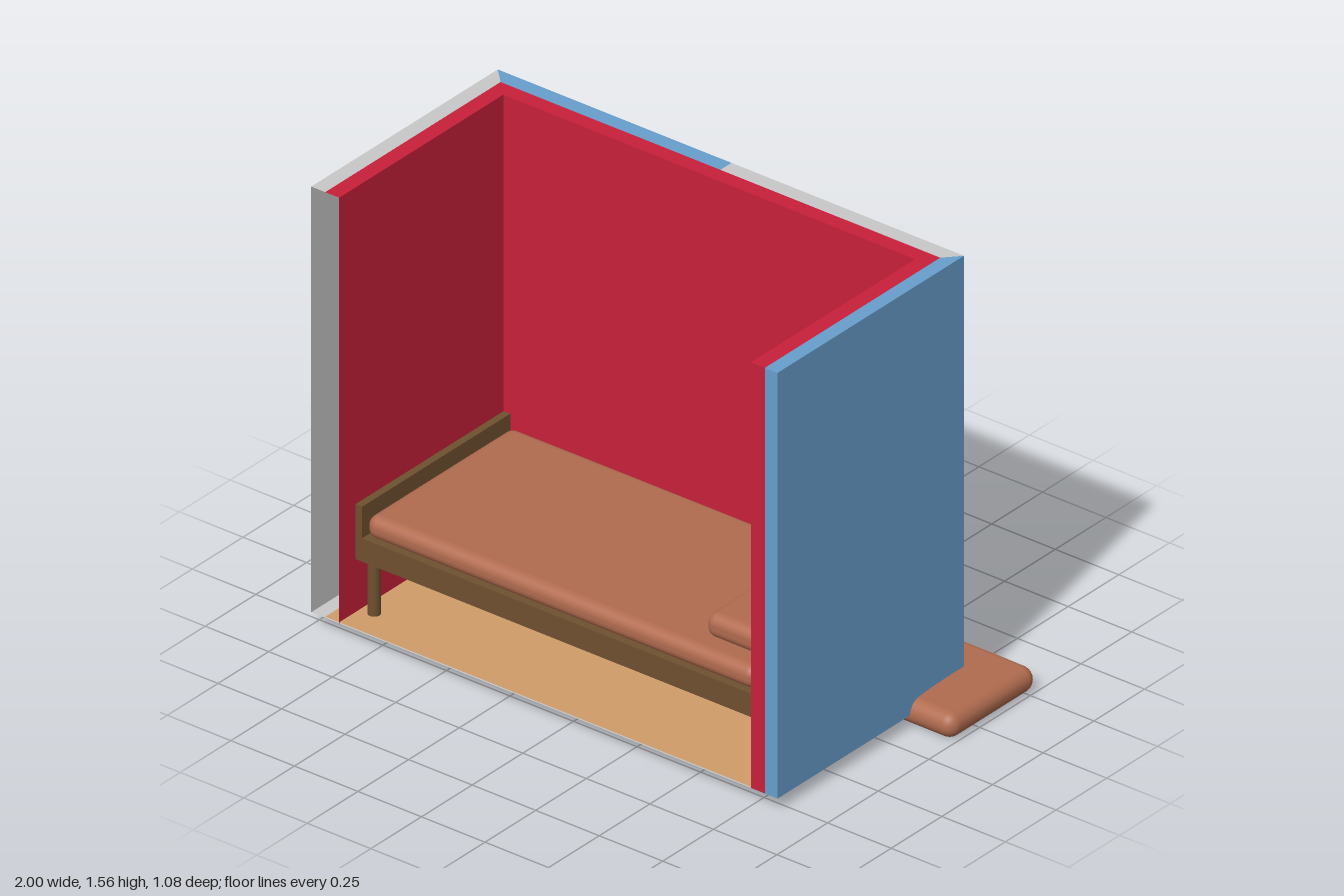
import * as THREE from 'three';

const mat = (name, color, side = THREE.FrontSide) => {
  const m = new THREE.MeshStandardMaterial({ color, side });
  m.name = name;
  return m;
};

export function createModel() {
  const model = new THREE.Group();
  model.name = 'sleepingBooth';
  const red = mat('red lining', 0xc8203a, THREE.DoubleSide);
  const blue = mat('blue panel', 0x679fcc, THREE.DoubleSide);
  const grey = mat('grey panel', 0xc8c8c8, THREE.DoubleSide);
  const tan = mat('tan floor', 0xcf9c69, THREE.DoubleSide);
  const wood = mat('brown wood', 0x6f5030);
  const fabric = mat('terracotta fabric', 0xb06b4f);

  const add = (name, geometry, material, parent = model) => {
    const mesh = new THREE.Mesh(geometry, material);
    mesh.name = name;
    parent.add(mesh);
    return mesh;
  };

  // Flat four-cornered panel
  const quad = (name, material, a, b, c, d) => {
    const g = new THREE.BufferGeometry();
    g.setAttribute('position', new THREE.Float32BufferAttribute([a, b, c, a, c, d].flat(), 3));
    g.computeVertexNormals();
    return add(name, g, material);
  };
  // Horizontal panel from four [x, z] corners, in order seen from above
  const level = (name, material, y, pts) =>
    quad(name, material, ...pts.map(([x, z]) => [x, y, z]));
  // Upright panel between two [x, z] points
  const Y0 = 0.045, Y1 = 1.558;
  const upright = (name, material, [x0, z0], [x1, z1]) =>
    quad(name, material, [x0, Y0, z0], [x1, Y0, z1], [x1, Y1, z1], [x0, Y1, z0]);

  // Plan lines: outer shell, seam between shell and lining, inner lining
  const xL = [-1, -0.945, -0.89], xR = [0.835, 0.785, 0.73], zB = [-0.38, -0.325, -0.27];
  const zF = 0.54, xM = -0.08;

  // Outer shell
  upright('leftOuterWall', grey, [xL[0], zB[0]], [xL[0], zF]);
  upright('rightOuterWall', blue, [xR[0], zF], [xR[0], zB[0]]);
  upright('backOuterWallLeft', blue, [xM, zB[0]], [xL[0], zB[0]]);
  upright('backOuterWallRight', grey, [xR[0], zB[0]], [xM, zB[0]]);

  // Inner lining
  upright('leftLining', red, [xL[2], zF], [xL[2], zB[2]]);
  upright('rightLining', red, [xR[2], zB[2]], [xR[2], zF]);
  upright('backLining', red, [xL[2], zB[2]], [xR[2], zB[2]]);

  // Front end of the right wall; the left wall is open at the front
  upright('rightLiningEnd', red, [xR[2], zF], [xR[1], zF]);
  upright('rightShellEnd', blue, [xR[1], zF], [xR[0], zF]);

  // Mitred shell edges, top and bottom
  for (const [label, y, flip] of [['Top', Y1, false], ['Bottom', Y0, true]]) {
    const strip = (name, material, pts) =>
      level(name + label, material, y, flip ? [...pts].reverse() : pts);
    strip('leftShell', grey, [[xL[0], zB[0]], [xL[0], zF], [xL[1], zF], [xL[1], zB[1]]]);
    strip('rightShell', blue, [[xR[0], zF], [xR[0], zB[0]], [xR[1], zB[1]], [xR[1], zF]]);
    strip('backShellLeft', blue, [[xL[0], zB[0]], [xL[1], zB[1]], [xM, zB[1]], [xM, zB[0]]]);
    strip('backShellRight', grey, [[xM, zB[0]], [xM, zB[1]], [xR[1], zB[1]], [xR[0], zB[0]]]);
  }

  // Lining top edges
  level('leftLiningTop', red, Y1, [[xL[1], zB[1]], [xL[1], zF], [xL[2], zF], [xL[2], zB[2]]]);
  level('rightLiningTop', red, Y1, [[xR[1], zF], [xR[1], zB[1]], [xR[2], zB[2]], [xR[2], zF]]);
  level('backLiningTop', red, Y1, [[xL[1], zB[1]], [xL[2], zB[2]], [xR[2], zB[2]], [xR[1], zB[1]]]);

  // Floor with a grey underside
  const floor = [[xL[1], zB[1]], [xL[1], zF], [xR[1], zF], [xR[1], zB[1]]];
  level('floor', tan, Y0 + 0.004, floor);
  level('floorUnderside', grey, Y0, [...floor].reverse());

  // Bed frame
  const bed = new THREE.Group();
  bed.name = 'bed';
  model.add(bed);
  const box = (name, x0, x1, y0, y1, z0, z1) =>
    add(name, new THREE.BoxGeometry(x1 - x0, y1 - y0, z1 - z0), wood, bed)
      .position.set((x0 + x1) / 2, (y0 + y1) / 2, (z0 + z1) / 2);
  box('bedBase', -0.856, 0.69, 0.245, 0.328, -0.262, 0.47);
  box('footboard', -0.882, -0.856, 0.245, 0.44, -0.262, 0.47);
  box('headboard', 0.69, 0.718, 0.245, 0.567, -0.262, 0.47);
  for (const x of [-0.84, 0.674])
    for (const z of [-0.22, 0.43])
      add('bedLeg', new THREE.CylinderGeometry(0.021, 0.021, 0.2, 20), wood, bed)
        .position.set(x, 0.147, z);

  // Soft rounded block with a domed top
  const cushion = (name, [x0, x1], [y0, y1], [z0, z1], r, crown, parent) => {
    const half = [(x1 - x0) / 2, (y1 - y0 - crown) / 2, (z1 - z0) / 2];
    const g = new THREE.BoxGeometry(2, 2, 2, 20, 12, 20);
    const p = g.attributes.position, n = g.attributes.normal;
    const v = new THREE.Vector3(), core = new THREE.Vector3();
    for (let i = 0; i < p.count; i++) {
      // Half of the grid goes to the rounded edges, half to the flat middle
      const full = [p.getX(i), p.getY(i), p.getZ(i)].map((t, k) => {
        const flat = half[k] - r, a = Math.abs(t);
        return Math.sign(t) * (a < 0.5 ? 2 * a * flat : flat + (2 * a - 1) * r);
      });
      core.set(...full.map((c, k) => THREE.MathUtils.clamp(c, r - half[k], half[k] - r)));
      v.set(...full).sub(core).normalize();
      n.setXYZ(i, v.x, v.y, v.z);
      v.multiplyScalar(r).add(core);
      const u = v.x / half[0], w = v.z / half[2];
      if (v.y > 0) v.y += crown * (v.y / half[1]) * (1 - u * u) * (1 - w * w);
      p.setXYZ(i, v.x, v.y, v.z);
    }
    add(name, g, fabric, parent)
      .position.set((x0 + x1) / 2, y0 + half[1], (z0 + z1) / 2);
  };
  cushion('mattress', [-0.85, 0.682], [0.328, 0.428], [-0.258, 0.465], 0.036, 0.02, bed);
  cushion('pillow', [0.437, 0.65], [0.415, 0.513], [-0.2, 0.405], 0.035, 0.014, bed);
  cushion('floorCushion', [0.568, 1], [0, 0.1], [-0.54, -0.113], 0.043, 0.012, model);

  return model;
}
